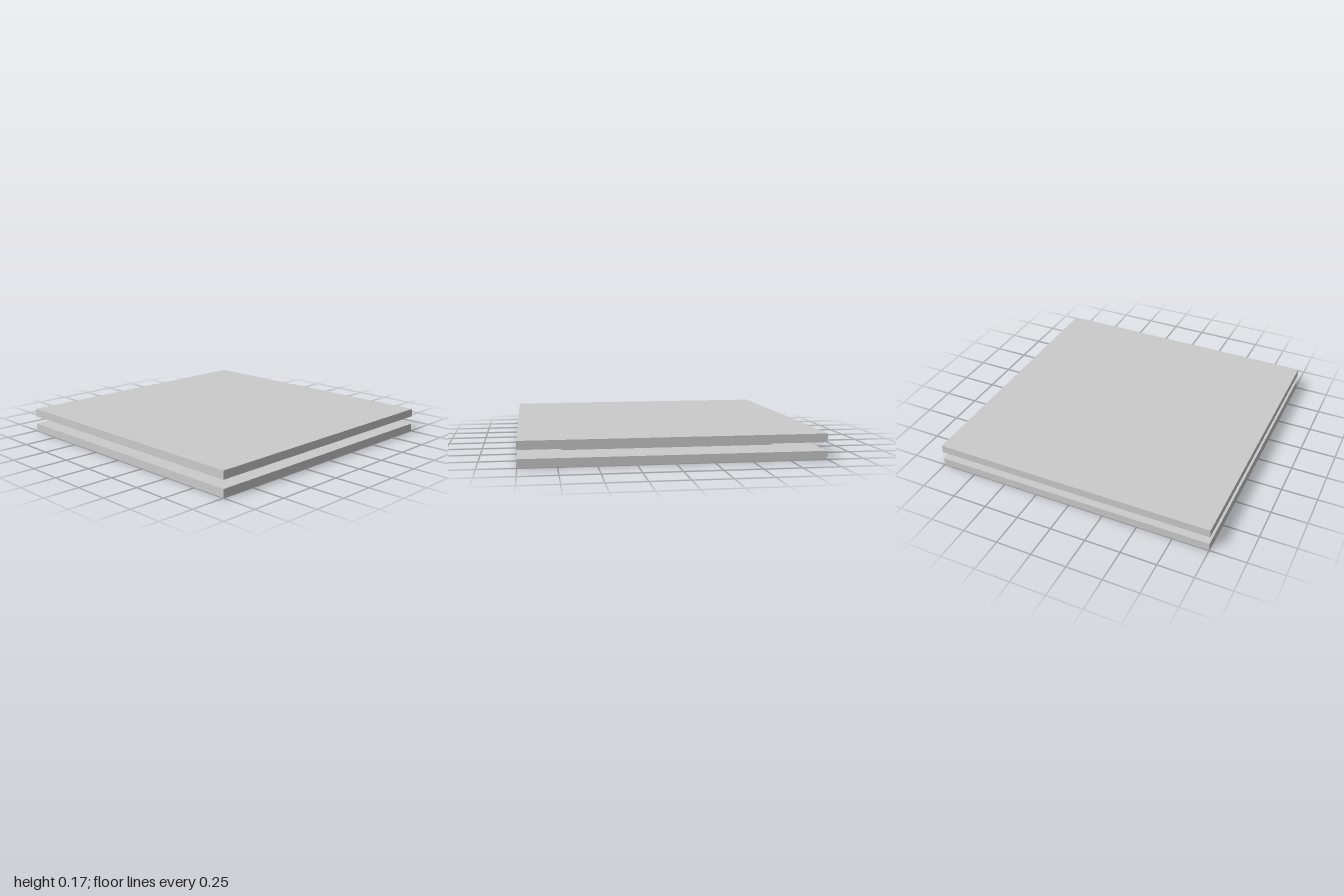
import * as THREE from 'three';

export function createModel() {
  const group = new THREE.Group();
  const material = new THREE.MeshStandardMaterial({ color: 0xcccccc, flatShading: true });
  const thickness = 2 / 35;

  // Three square slabs of equal thickness, stacked from the ground up
  const slabs = [
    ['bottomPlate', 2],
    ['middleCore', 50 / 35],
    ['topPlate', 2],
  ];
  slabs.forEach(([name, width], i) => {
    const slab = new THREE.Mesh(new THREE.BoxGeometry(width, thickness, width), material);
    slab.name = name;
    slab.position.y = (i + 0.5) * thickness;
    group.add(slab);
  });

  return group;
}
